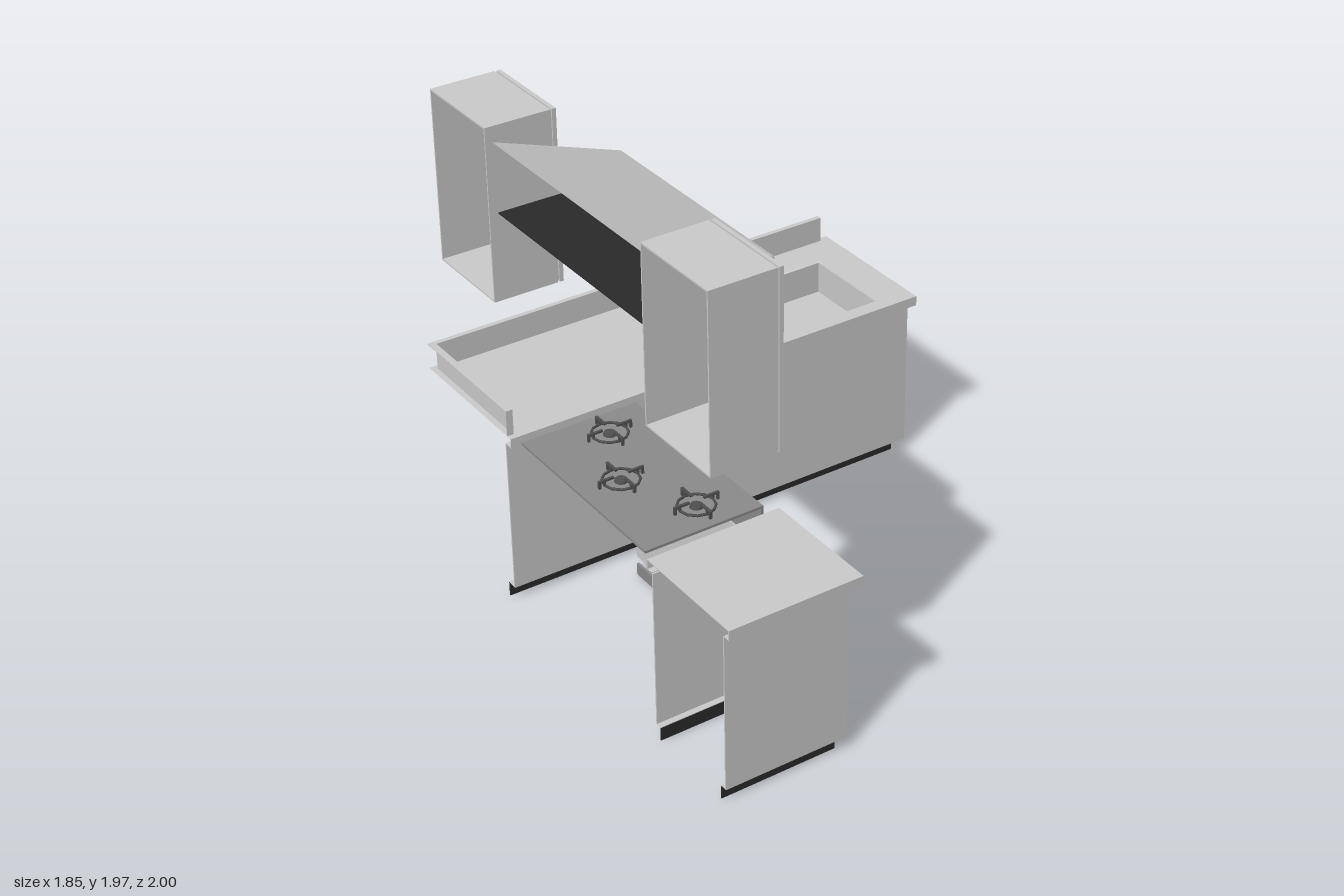
import * as THREE from 'three';

const GREY = 0xcccccc, STEEL = 0x8c8c8c, DARK = 0x2a2a2a, IRON = 0x505050, RED = 0xb03030;
const mats = {};
const mat = (color) => (mats[color] ??= new THREE.MeshStandardMaterial({ color, side: THREE.DoubleSide }));

function add(parent, name, geo, color = GREY) {
  const m = new THREE.Mesh(geo, mat(color));
  m.name = name;
  parent.add(m);
  return m;
}

function group(parent, name) {
  const g = new THREE.Group();
  g.name = name;
  parent.add(g);
  return g;
}

// Box given by its limits along each axis
function box(parent, name, [x0, x1], [y0, y1], [z0, z1], color) {
  const geo = new THREE.BoxGeometry(x1 - x0, y1 - y0, z1 - z0);
  geo.translate((x0 + x1) / 2, (y0 + y1) / 2, (z0 + z1) / 2);
  return add(parent, name, geo, color);
}

// Rectangle outline
function rect(Type, a0, a1, b0, b1) {
  const s = new Type();
  s.moveTo(a0, b0);
  s.lineTo(a1, b0);
  s.lineTo(a1, b1);
  s.lineTo(a0, b1);
  s.closePath();
  return s;
}

// Door facing +x: frame with a recessed panel
function door(parent, name, [x0, x1], [y0, y1], [z0, z1], [hy0, hy1], [hz0, hz1], recess) {
  const s = rect(THREE.Shape, -z1, -z0, y0, y1);
  s.holes.push(rect(THREE.Path, -hz1, -hz0, hy0, hy1));
  const geo = new THREE.ExtrudeGeometry(s, { depth: x1 - x0, bevelEnabled: false });
  geo.rotateY(Math.PI / 2).translate(x0, 0, 0);
  add(parent, name + 'Frame', geo);
  box(parent, name + 'Panel', [x0 + 0.001, x1 - recess], [hy0, hy1], [hz0, hz1]);
}

// Long run with sink; the worktop and splash are shells open to the wall
function sinkCounter(root) {
  const g = group(root, 'sinkCounter');
  const sx = [0.165, 0.773], sz = [-0.84, -0.45], t = 0.006, bottom = 0.59;
  const s = rect(THREE.Shape, -0.897, 0.922, 0.395, 1);
  s.holes.push(rect(THREE.Path, sx[0], sx[1], -sz[1], -sz[0]));
  const top = new THREE.ShapeGeometry(s).rotateX(-Math.PI / 2).translate(0, 0.728, 0);
  add(g, 'worktop', top);
  box(g, 'worktopFrontEdge', [-0.897, 0.922], [0.69, 0.728], [-0.399, -0.395]);
  box(g, 'worktopEndEdge', [0.918, 0.922], [0.69, 0.728], [-1, -0.399]);
  box(g, 'worktopFrontLip', [-0.897, 0.922], [0.688, 0.691], [-0.43, -0.395]);
  box(g, 'worktopEndLip', [0.905, 0.922], [0.688, 0.691], [-1, -0.43]);
  // Upstand along both walls
  box(g, 'splashFace', [-0.87, 0.88], [0.728, 0.832], [-0.983, -0.98]);
  box(g, 'splashTop', [-0.897, 0.88], [0.829, 0.832], [-1, -0.98]);
  box(g, 'splashEnd', [0.877, 0.88], [0.728, 0.832], [-1, -0.98]);
  box(g, 'sideSplashFace', [-0.873, -0.87], [0.728, 0.832], [-0.98, -0.42]);
  box(g, 'sideSplashTop', [-0.897, -0.87], [0.829, 0.832], [-0.98, -0.42]);
  box(g, 'sideSplashEnd', [-0.897, -0.87], [0.728, 0.832], [-0.423, -0.42]);
  box(g, 'frontPanel', [-0.897, 0.907], [0.06, 0.69], [-0.436, -0.43]);
  box(g, 'sidePanel', [0.901, 0.907], [0.06, 0.69], [-1, -0.436]);
  box(g, 'plinthFront', [-0.897, 0.872], [0, 0.06], [-0.474, -0.47], DARK);
  box(g, 'plinthSide', [0.868, 0.872], [0, 0.06], [-1, -0.474], DARK);
  box(g, 'plinthLedgeFront', [-0.897, 0.907], [0.058, 0.061], [-0.474, -0.43]);
  box(g, 'plinthLedgeSide', [0.868, 0.907], [0.058, 0.061], [-1, -0.474]);
  // Sink basin
  box(g, 'sinkBottom', sx, [bottom, bottom + t], sz);
  for (const x of [sx[0], sx[1] - t]) box(g, 'sinkEnd', [x, x + t], [bottom, 0.727], sz);
  for (const z of [sz[0], sz[1] - t]) box(g, 'sinkSide', sx, [bottom, 0.727], [z, z + t]);
}

// Small floor cabinet, open at the back
function baseCabinet(root) {
  const g = group(root, 'baseCabinet');
  const x = [-0.897, -0.36];
  box(g, 'worktop', x, [0.725, 0.728], [0.51, 1]);
  box(g, 'worktopFrontEdge', [-0.364, -0.36], [0.69, 0.725], [0.51, 1]);
  box(g, 'worktopFrontLip', [-0.4, -0.36], [0.688, 0.691], [0.51, 1]);
  for (const z of [0.51, 0.996]) box(g, 'worktopSideEdge', x, [0.69, 0.725], [z, z + 0.004]);
  for (const z of [0.51, 0.97]) box(g, 'worktopSideLip', [-0.897, -0.4], [0.688, 0.691], [z, z + 0.03]);
  door(g, 'door', [-0.412, -0.398], [0.055, 0.688], [0.54, 0.972], [0.085, 0.66], [0.57, 0.945], 0.01);
  for (const z of [0.54, 0.966]) box(g, 'side', [-0.897, -0.412], [0.055, 0.688], [z, z + 0.006]);
  box(g, 'plinthFront', [-0.434, -0.43], [0, 0.055], [0.566, 0.945], DARK);
  for (const z of [0.566, 0.941]) box(g, 'plinthSide', [-0.897, -0.434], [0, 0.055], [z, z + 0.004], DARK);
  box(g, 'plinthLedge', [-0.434, -0.4], [0.054, 0.057], [0.54, 0.972]);
  for (const z of [0.54, 0.942]) box(g, 'plinthLedgeSide', [-0.897, -0.434], [0.054, 0.057], [z, z + 0.03]);
}

// One gas burner with a four-armed pan support
function burner(parent, x, z) {
  const g = group(parent, 'burner');
  g.position.set(x, 0.74, z);
  add(g, 'burnerRing', new THREE.TorusGeometry(0.068, 0.005, 6, 12).rotateX(Math.PI / 2).translate(0, 0.01, 0), IRON);
  add(g, 'burnerCap', new THREE.CylinderGeometry(0.022, 0.026, 0.012, 12).translate(0, 0.006, 0), IRON);
  for (let i = 0; i < 4; i++) {
    const arm = group(g, 'supportArm');
    arm.rotation.y = (i * Math.PI) / 2;
    box(arm, 'finger', [0.03, 0.092], [0.025, 0.033], [-0.005, 0.005], IRON);
    box(arm, 'leg', [0.083, 0.092], [0, 0.026], [-0.005, 0.005], IRON);
    box(arm, 'brace', [0.064, 0.072], [0.01, 0.026], [-0.005, 0.005], IRON);
  }
}

// Cooker: hob, control panel and oven front, open behind
function cooker(root) {
  const g = group(root, 'cooker');
  box(g, 'hob', [-0.887, -0.408], [0.732, 0.742], [-0.335, 0.485], STEEL);
  box(g, 'controlPanel', [-0.418, -0.408], [0.58, 0.732], [-0.335, 0.485], STEEL);
  door(g, 'ovenDoor', [-0.415, -0.398], [0.055, 0.57], [-0.347, 0.513], [0.135, 0.495], [-0.235, 0.402], 0.012);
  box(g, 'ovenPlinth', [-0.44, -0.43], [0.005, 0.055], [-0.31, 0.48], STEEL);
  box(g, 'ovenHandle', [-0.388, -0.38], [0.522, 0.544], [-0.3, 0.47]);
  for (const z of [-0.28, 0.44]) box(g, 'handleMount', [-0.398, -0.388], [0.525, 0.541], [z, z + 0.015]);
  for (const [x, z] of [[-0.6, 0.36], [-0.727, 0.077], [-0.6, -0.203]]) {
    burner(g, x, z);
    // Knob with pointer below each burner
    const knob = new THREE.CylinderGeometry(0.027, 0.027, 0.01, 16);
    add(g, 'knob', knob.rotateZ(Math.PI / 2).translate(-0.403, 0.655, z));
    box(g, 'knobGrip', [-0.398, -0.394], [0.63, 0.655], [z - 0.005, z + 0.005], IRON);
    box(g, 'knobMark', [-0.398, -0.392], [0.655, 0.68], [z - 0.005, z + 0.005], RED);
  }
}

// Wall cabinet, open at the back; the handle sits at handleZ
function wallCabinet(root, z0, z1, handleZ) {
  const g = group(root, 'wallCabinet');
  const x = [-0.925, -0.672], t = 0.006;
  box(g, 'top', x, [1.959, 1.965], [z0, z1]);
  box(g, 'bottom', x, [1.297, 1.303], [z0, z1]);
  for (const z of [z0, z1 - t]) box(g, 'side', x, [1.303, 1.959], [z, z + t]);
  box(g, 'inner', [-0.678, -0.664], [1.303, 1.959], [z0 + t, z1 - t]);
  door(g, 'door', [-0.664, -0.648], [1.297, 1.965], [z0, z1], [1.327, 1.935], [z0 + 0.027, z1 - 0.027], 0.01);
  box(g, 'handle', [-0.646, -0.638], [1.345, 1.54], [handleZ - 0.01, handleZ + 0.01]);
  for (const y of [1.355, 1.52]) box(g, 'handleMount', [-0.658, -0.646], [y, y + 0.01], [handleZ - 0.008, handleZ + 0.008]);
}

// Extractor hood: sloped shell open to the wall, with a dark filter below
function hood(root) {
  const g = group(root, 'hood');
  const profile = [[-0.916, 1.924], [-0.416, 1.752], [-0.416, 1.655], [-0.916, 1.655]];
  const z0 = -0.367, z1 = 0.565, pos = [];
  const quad = (a, b, c, d) => pos.push(...a, ...b, ...c, ...a, ...c, ...d);
  const at = (i, z) => [...profile[i], z];
  for (const i of [0, 1]) quad(at(i, z0), at(i, z1), at(i + 1, z1), at(i + 1, z0));
  quad(at(3, z1), at(2, z1), at(1, z1), at(0, z1));
  quad(at(0, z0), at(1, z0), at(2, z0), at(3, z0));
  const geo = new THREE.BufferGeometry();
  geo.setAttribute('position', new THREE.Float32BufferAttribute(pos, 3));
  geo.computeVertexNormals();
  add(g, 'hoodShell', geo);
  box(g, 'hoodFilter', [-0.914, -0.43], [1.66, 1.664], [z0 + 0.012, z1 - 0.012], DARK);
}

export function createModel() {
  const root = new THREE.Group();
  root.name = 'kitchen';
  sinkCounter(root);
  baseCabinet(root);
  cooker(root);
  wallCabinet(root, 0.573, 0.95, 0.65);
  wallCabinet(root, -0.775, -0.398, -0.45);
  hood(root);
  return root;
}
